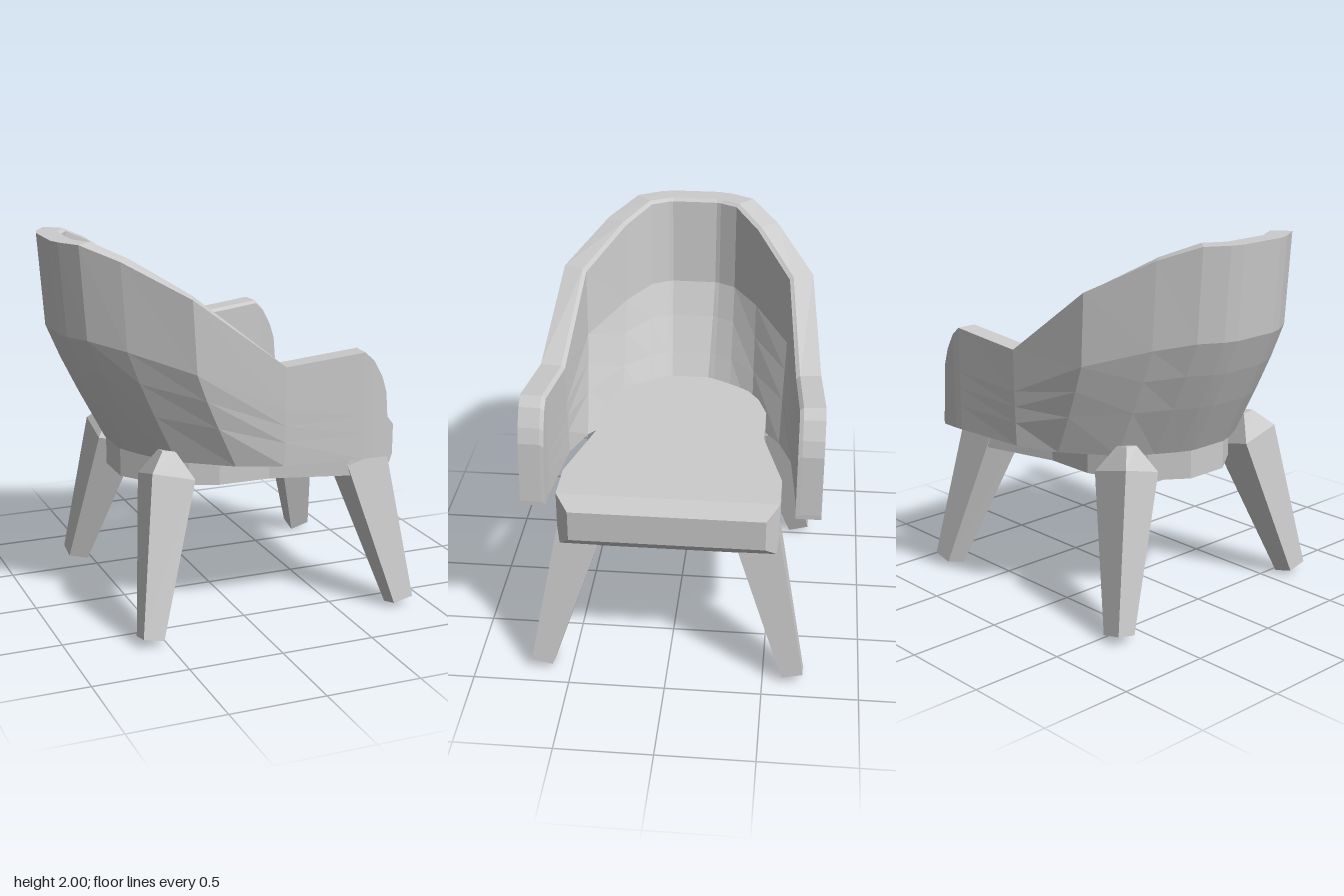
import * as THREE from 'three';

const material = new THREE.MeshStandardMaterial({ color: 0xcccccc, flatShading: true });

function addMesh(parent, geometry, name) {
  const mesh = new THREE.Mesh(geometry, material);
  mesh.name = name;
  parent.add(mesh);
}

// Skin a row of closed cross-sections (counter-clockwise about the travel direction) and cap both ends.
function loft(rings) {
  const n = rings[0].length;
  const index = [];
  for (let i = 0; i < rings.length - 1; i++) {
    for (let j = 0; j < n; j++) {
      const k = (j + 1) % n;
      const a = i * n + j, b = i * n + k, c = b + n, d = a + n;
      index.push(a, b, c, a, c, d);
    }
  }
  const last = (rings.length - 1) * n;
  for (let j = 1; j < n - 1; j++) {
    index.push(0, j + 1, j, last, last + j, last + j + 1);
  }
  const geometry = new THREE.BufferGeometry();
  geometry.setAttribute('position', new THREE.Float32BufferAttribute(rings.flat(2), 3));
  geometry.setIndex(index);
  const flat = geometry.toNonIndexed();
  flat.computeVertexNormals();
  return flat;
}

// Wrap-around back and arms: [bottom x, bottom z, rim x, rim z, rim height] from arm tip to middle of back.
function shellGeometry() {
  const base = 0.885, thickness = 0.13;
  const half = [
    [0.69, 0.765, 0.69, 0.765, 0.91],
    [0.665, 0.765, 0.665, 0.765, 1.23],
    [0.64, 0.765, 0.64, 0.765, 1.31],
    [0.59, 0.765, 0.59, 0.765, 1.40],
    [0.54, 0.763, 0.54, 0.763, 1.445],
    [0.12, 0.725, 0.12, 0.735, 1.40],
    [-0.11, 0.64, -0.35, 0.67, 1.76],
    [-0.36, 0.46, -0.645, 0.465, 1.93],
    [-0.47, 0.30, -0.81, 0.32, 2.0],
    [-0.53, 0.19, -0.88, 0.20, 2.0],
    [-0.56, 0.11, -0.90, 0.13, 2.0],
  ];
  const mirrored = half.map(([bx, bz, tx, tz, h]) => [bx, -bz, tx, -tz, h]).reverse();
  const stations = [...half, ...mirrored];

  // Height fraction and outward flare of each level
  const levels = [[0, 0], [0.24, 0.41], [0.41, 0.68], [0.57, 0.9], [1, 1]];
  const plan = (i, flare) => {
    const s = stations[Math.min(Math.max(i, 0), stations.length - 1)];
    return [s[0] + (s[2] - s[0]) * flare, s[1] + (s[3] - s[1]) * flare];
  };
  // Point moved inward, square to the plan curve
  const offset = (i, flare, y, inset) => {
    const [x, z] = plan(i, flare);
    const [x0, z0] = plan(i - 1, flare);
    const [x1, z1] = plan(i + 1, flare);
    const scale = inset / Math.hypot(x1 - x0, z1 - z0);
    return [x - (z1 - z0) * scale, y, z + (x1 - x0) * scale];
  };
  const rings = stations.map((s, i) => {
    const height = (t) => base + (s[4] - base) * t;
    const outer = levels.map(([t, f]) => offset(i, f, height(t), 0));
    const rim = offset(i, 1, s[4], thickness - 0.02);
    const inner = levels.map(([t, f]) => offset(i, f, height(t) - (t === 1 ? 0.015 : 0), thickness));
    return [...outer, rim, ...inner.reverse()];
  });
  return loft(rings);
}

// Seat cushion with a narrowing plan
function seatGeometry() {
  const side = [[0.79, 0.56], [0.57, 0.56], [0.16, 0.45], [-0.12, 0.45], [-0.27, 0.40], [-0.42, 0.30], [-0.55, 0.12]];
  const outline = [...side, ...side.map(([x, z]) => [x, -z]).reverse()];
  const shape = new THREE.Shape(outline.map(([x, z]) => new THREE.Vector2(x, z)));
  const geometry = new THREE.ExtrudeGeometry(shape, { depth: 0.3, bevelEnabled: false });
  return geometry.rotateX(Math.PI / 2).translate(0, 1.03, 0);
}

// Bevelled front edge of the seat
function seatFrontGeometry() {
  const ring = (x, y0, y1, z) => [[x, y0, -z], [x, y1, -z], [x, y1, z], [x, y0, z]];
  return loft([ring(0.79, 0.73, 1.03, 0.56), ring(0.86, 0.80, 0.965, 0.495)]);
}

// Splayed tapered leg with a pointed top; sx and sz mirror it to each corner
function legGeometry(sx, sz) {
  const middle = 0.13;
  // Heights run inner corner, side corners, outer corner
  const ring = (x0, x1, z0, z1, low, mid, high) => {
    const points = [[x0, low, z0], [x0, mid, z1], [x1, high, z1], [x1, mid, z0]]
      .map(([x, y, z]) => [middle + sx * (x - middle), y, sz * z]);
    return sx * sz < 0 ? points.reverse() : points;
  };
  return loft([
    ring(0.785, 0.895, 0.60, 0.71, 0, 0.03, 0.055),
    ring(0.555, 0.785, 0.33, 0.555, 0.76, 0.81, 0.87),
    ring(0.63, 0.70, 0.40, 0.47, 0.935, 0.945, 0.955),
  ]);
}

export function createModel() {
  const chair = new THREE.Group();
  chair.name = 'armchair';
  addMesh(chair, shellGeometry(), 'backAndArms');
  addMesh(chair, seatGeometry(), 'seat');
  addMesh(chair, seatFrontGeometry(), 'seatFront');
  for (const sx of [1, -1]) {
    for (const sz of [1, -1]) {
      addMesh(chair, legGeometry(sx, sz), (sz > 0 ? 'frontLeg' : 'backLeg') + (sx > 0 ? 'Left' : 'Right'));
    }
  }
  return chair;
}
